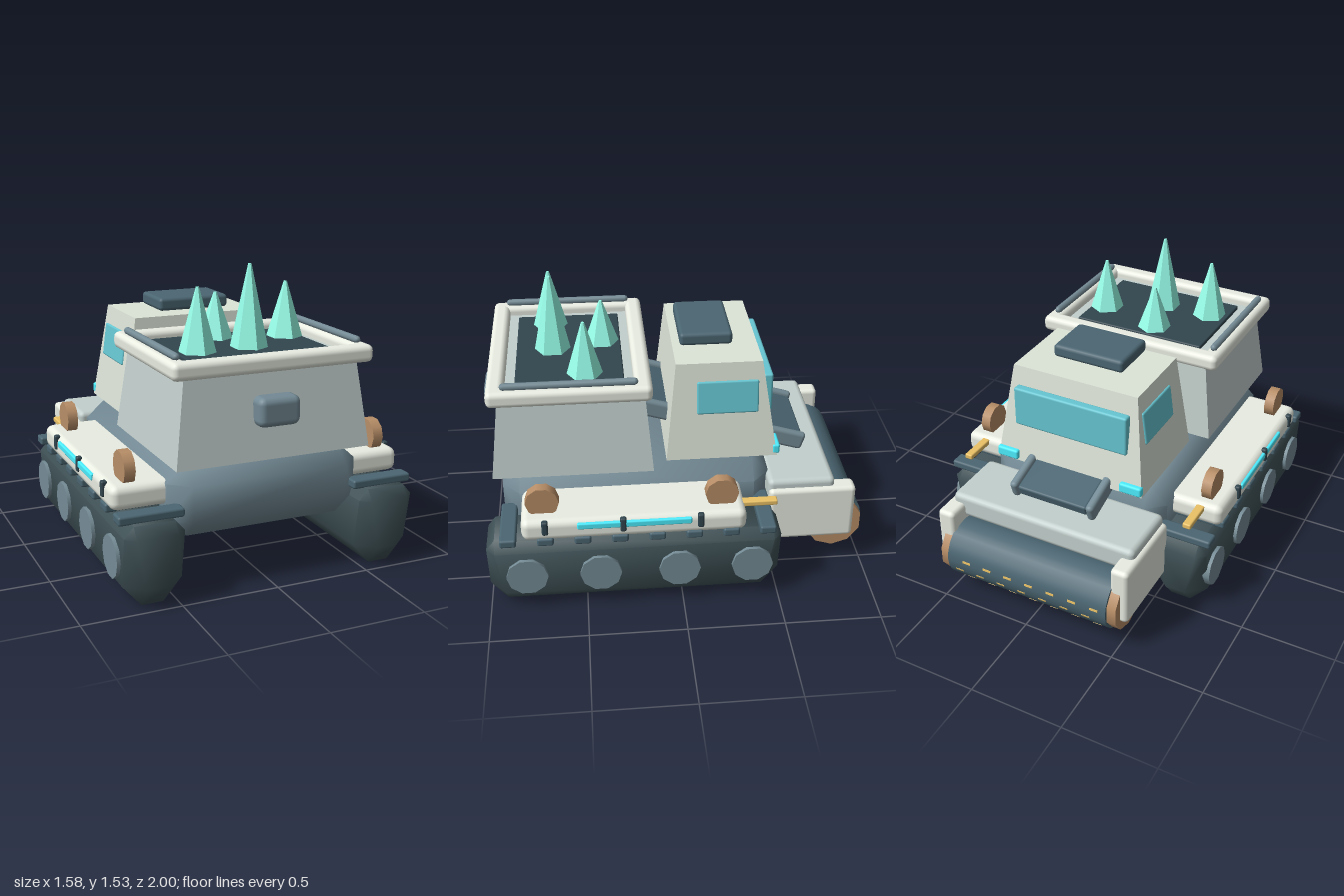
import * as THREE from 'three';
import { toCreasedNormals } from 'three/addons/utils/BufferGeometryUtils.js';
import { RoundedBoxGeometry } from 'three/addons/geometries/RoundedBoxGeometry.js';
import { ConvexGeometry } from 'three/addons/geometries/ConvexGeometry.js';

const mat = (color, flatShading = false) => new THREE.MeshStandardMaterial({ color, flatShading });
const M = {
  white: mat(0xe9ede2), cabin: mat(0xdde4d8), panel: mat(0xc3d0cd), hull: mat(0x738a95),
  track: mat(0x3f5156), dark: mat(0x4b6672), bed: mat(0x32464f), steel: mat(0x768d97),
  glass: mat(0x66c6d2), glow: mat(0x4ceeff), crystal: mat(0x98ffea, true),
  bronze: mat(0xb98f68), gold: mat(0xebc266),
};

export function createModel() {
  const model = new THREE.Group();

  const add = (name, geo, material, x, y, z, parent = model) => {
    const mesh = new THREE.Mesh(geo, material);
    mesh.name = name;
    mesh.position.set(x, y, z);
    parent.add(mesh);
    return mesh;
  };
  // Soft-edged box given by its min/max extents
  const box = (name, m, [x0, x1], [y0, y1], [z0, z1], r = 0.02) =>
    add(name, new RoundedBoxGeometry(x1 - x0, y1 - y0, z1 - z0, 2, r), m,
      (x0 + x1) / 2, (y0 + y1) / 2, (z0 + z1) / 2);
  // Same, for the side given by s (+1 left, -1 right)
  const sideBox = (s, name, m, [x0, x1], y, z, r) =>
    box(name, m, s > 0 ? [x0, x1] : [-x1, -x0], y, z, r);
  // Box with chamfered edges and smooth shading; top scales the upper chamfers
  const chamferBox = (w, h, d, cx, cy, cz, top = 1) => {
    const pts = [];
    for (const a of [-1, 1]) for (const b of [-1, 1]) for (const c of [-1, 1]) {
      const k = b > 0 ? top : 1;
      const p = (u, v, t) => pts.push(new THREE.Vector3(a * (w / 2 - u * k), b * (h / 2 - v * k), c * (d / 2 - t * k)));
      p(0, cy, cz); p(cx, 0, cz); p(cx, cy, 0);
    }
    return toCreasedNormals(new ConvexGeometry(pts), 1.1);
  };
  // Box that tapers toward a smaller top: [halfX, zMin, zMax] at each end
  const taper = (h, bottom, top) => {
    const g = new THREE.BoxGeometry(1, h, 1);
    const p = g.attributes.position;
    for (let i = 0; i < p.count; i++) {
      const [hx, z0, z1] = p.getY(i) > 0 ? top : bottom;
      p.setX(i, Math.sign(p.getX(i)) * hx);
      p.setZ(i, p.getZ(i) > 0 ? z1 : z0);
    }
    g.computeVertexNormals();
    return g;
  };
  const disc = (r, w, sides) => new THREE.CylinderGeometry(r, r, w, sides).rotateZ(Math.PI / 2);

  // Hull
  add('hull', chamferBox(1.02, 0.365, 1.4, 0.1, 0.09, 0.09), M.hull, 0, 0.4525, 0.215);

  // Tracks, fenders and side fittings
  for (const s of [1, -1]) {
    add('track', chamferBox(0.3, 0.415, 1.51, 0.095, 0.11, 0.085, 0.5), M.track, s * 0.62, 0.2075, 0.245);
    for (const z of [0.8, 0.425, 0.02, -0.355]) add('wheel', disc(0.107, 0.05, 10), M.steel, s * 0.763, 0.22, z);
    for (let i = 0; i < 8; i++) {
      const z = 0.885 - i * 0.188;
      sideBox(s, 'trackCleat', M.dark, [0.455, 0.785], [0.41, 0.455], [z - 0.042, z + 0.042], 0.012);
    }
    sideBox(s, 'fender', M.white, [0.46, 0.78], [0.435, 0.557], [-0.32, 0.815], 0.04);
    sideBox(s, 'fenderGlowStrip', M.glow, [0.765, 0.788], [0.505, 0.54], [-0.04, 0.535], 0.008);
    for (const z of [0.695, 0.305, -0.085])
      sideBox(s, 'fenderClip', M.bed, [0.76, 0.792], [0.48, 0.56], [z - 0.016, z + 0.016], 0.01);
    for (const z of [0.705, -0.2]) add('fenderDisc', disc(0.085, 0.055, 10), M.bronze, s * 0.675, 0.617, z);
    sideBox(s, 'goldPeg', M.gold, [0.637, 0.683], [0.513, 0.543], [-0.49, -0.29], 0.008);
  }

  // Hopper with rim, bed and rails
  add('hopper', taper(0.455, [0.51, 0.13, 0.955], [0.45, 0.17, 0.9]), M.panel, 0, 0.8725, 0);
  for (const s of [1, -1]) {
    sideBox(s, 'hopperRimSide', M.white, [0.435, 0.525], [1.063, 1.15], [0.13, 0.955], 0.03);
    add('hopperRail', new THREE.CapsuleGeometry(0.019, 0.645, 2, 8).rotateX(Math.PI / 2), M.steel, s * 0.475, 1.163, 0.542);
  }
  for (const z of [0.13, 0.865]) box('hopperRimEnd', M.white, [-0.525, 0.525], [1.063, 1.15], [z, z + 0.09], 0.03);
  box('hopperBed', M.bed, [-0.375, 0.375], [1.08, 1.12], [0.265, 0.815], 0.008);
  box('hopperLamp', M.hull, [-0.11, 0.11], [0.81, 0.955], [0.88, 1], 0.035);

  // Crystals: x, z, tip height
  for (const [x, z, top] of [[-0.055, 0.365, 1.355], [0.292, 0.462, 1.405], [0.01, 0.625, 1.53], [-0.27, 0.637, 1.435]])
    add('crystal', new THREE.CylinderGeometry(0.008, 0.098, top - 1.1, 6), M.crystal, x, (top + 1.1) / 2, z);

  // Cabin
  add('cabin', taper(0.53, [0.425, -0.525, 0.058], [0.355, -0.44, 0.005]), M.cabin, 0, 0.913, 0);
  box('roofHatch', M.dark, [-0.2, 0.2], [1.196, 1.266], [-0.305, -0.03], 0.02);
  box('windscreen', M.glass, [-0.325, 0.325], [0.86, 1.08], [-0.505, -0.455], 0.012);
  for (const s of [1, -1]) {
    add('sideWindow', new RoundedBoxGeometry(0.022, 0.18, 0.32, 2, 0.01), M.glass, s * 0.378, 0.99, -0.262).rotation.z = s * 0.132;
    sideBox(s, 'headlight', M.glow, [0.3, 0.425], [0.655, 0.71], [-0.54, -0.5], 0.012);
  }

  // Sloping conveyor running from the drum apron to the hopper
  const conveyor = new THREE.Group();
  conveyor.name = 'conveyor';
  conveyor.position.set(0, 0.742, -0.23);
  conveyor.rotation.x = -0.3;
  model.add(conveyor);
  add('conveyorBelt', new RoundedBoxGeometry(0.4, 0.06, 0.98, 2, 0.012), M.dark, 0, 0, 0, conveyor);
  for (const s of [1, -1])
    add('conveyorRail', new RoundedBoxGeometry(0.045, 0.1, 1, 2, 0.02), M.steel, s * 0.222, 0, 0, conveyor);

  // Drum apron, crossbar and arms
  box('apron', M.panel, [-0.53, 0.53], [0.42, 0.552], [-0.825, -0.47], 0.03);
  box('drumCrossbar', M.bed, [-0.46, 0.46], [0.19, 0.32], [-0.64, -0.5], 0.02);
  for (const s of [1, -1]) {
    sideBox(s, 'drumArm', M.white, [0.455, 0.555], [0.187, 0.505], [-0.935, -0.475], 0.025);
    add('drumCap', disc(0.152, 0.05, 10).rotateX(Math.PI / 10), M.bronze, s * 0.49, 0.255, -0.837);
  }

  // Drum with rows of small teeth along its outer lower side
  const drum = new THREE.Group();
  drum.name = 'drum';
  drum.position.set(0, 0.255, -0.837);
  model.add(drum);
  add('drumRoller', disc(0.161, 0.93, 20), M.dark, 0, 0, 0, drum);
  for (let row = 0; row < 4; row++) {
    const a = 0.1 - row * 0.42;
    for (let i = 0; i < 7; i++)
      add('drumTooth', new THREE.BoxGeometry(0.045, 0.012, 0.012), M.gold,
        (i - 3) * 0.125 + (row % 2 ? 0.025 : -0.025), Math.sin(a) * 0.156, -Math.cos(a) * 0.156, drum).rotation.x = a;
  }
  return model;
}
